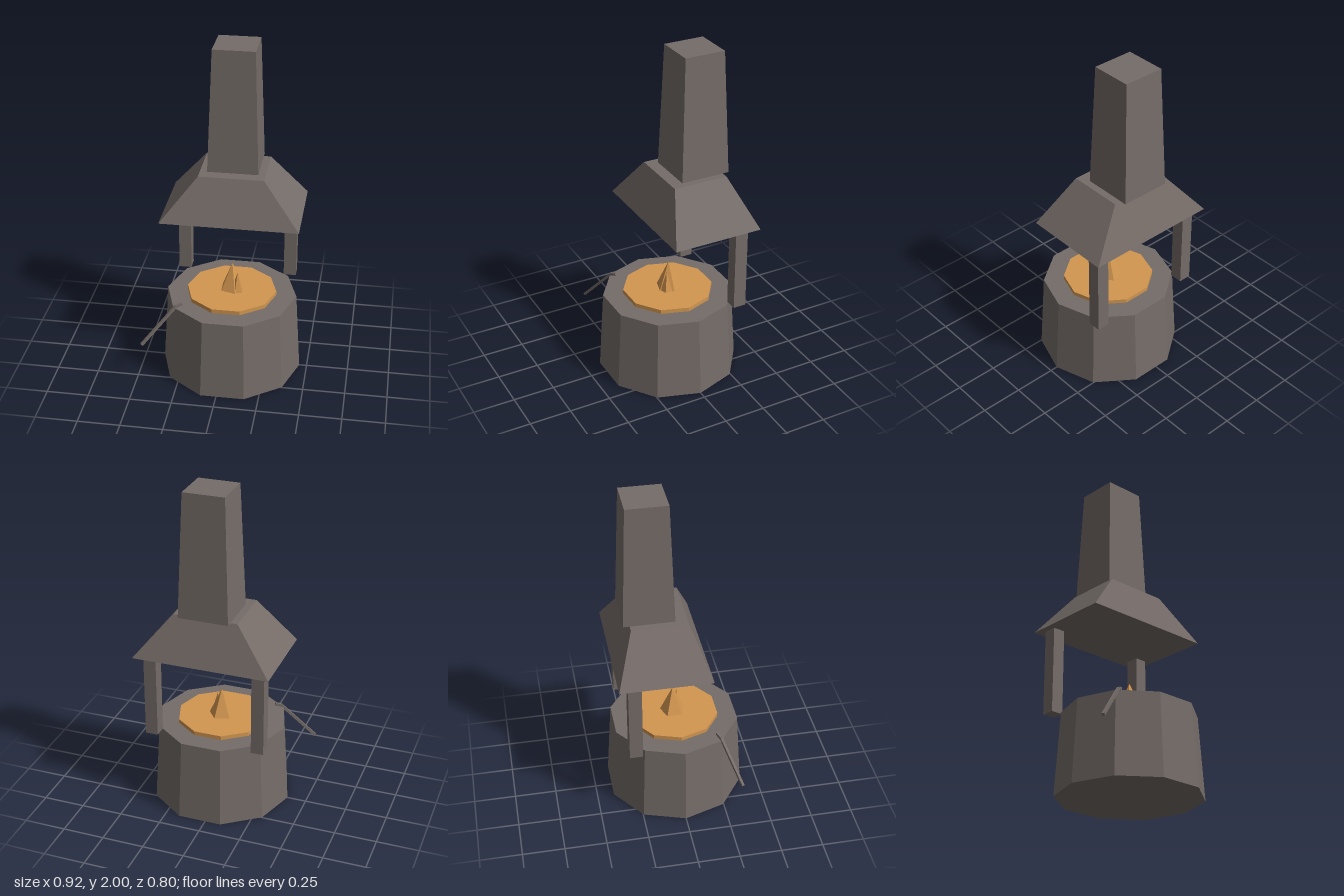
import * as THREE from 'three';

const flat = (name, color) => {
  const m = new THREE.MeshStandardMaterial({ color });
  m.name = name;
  m.flatShading = true;
  return m;
};

// Box whose bottom and top rectangles differ: [x0, x1, z0, z1] each
function frustum(y0, y1, bottom, top) {
  const geo = new THREE.BoxGeometry(1, 1, 1);
  const p = geo.attributes.position;
  for (let i = 0; i < p.count; i++) {
    const r = p.getY(i) > 0 ? top : bottom;
    p.setXYZ(i, p.getX(i) < 0 ? r[0] : r[1], p.getY(i) > 0 ? y1 : y0, p.getZ(i) < 0 ? r[2] : r[3]);
  }
  geo.computeVertexNormals();
  return geo;
}

// Ten-sided drum with corners on the x axis
function drum(rTop, rBottom, y0, y1) {
  const geo = new THREE.CylinderGeometry(rTop, rBottom, y1 - y0, 10, 1, false, Math.PI / 2);
  return geo.translate(0.035, (y0 + y1) / 2, 0);
}

export function createModel() {
  const group = new THREE.Group();
  group.name = 'forge';
  const stone = flat('stone grey', 0x756c68);
  const ember = flat('ember orange', 0xd29650);
  const add = (name, geo, mat) => {
    const mesh = new THREE.Mesh(geo, mat);
    mesh.name = name;
    group.add(mesh);
    return mesh;
  };

  // Hearth and glowing coal bed
  add('hearth', drum(0.389, 0.42, 0, 0.49), stone);
  add('coalBed', drum(0.268, 0.268, 0.485, 0.515), ember);

  // Flames: a tall five-sided one and a small leaning one
  const tall = new THREE.ConeGeometry(0.078, 0.175, 5, 1, false, 0.35);
  add('tallFlame', tall.translate(0.037, 0.5975, -0.005), ember);
  const small = new THREE.ConeGeometry(0.04, 0.135, 5, 1, false, 0.9);
  add('smallFlame', small.translate(0.073, 0.5725, 0.025), ember);

  // Rear posts carrying the hood
  for (const x of [-0.33, 0.32]) {
    const r = [x, x + 0.075, -0.325, -0.247];
    add('post', frustum(0.49, 1.01, r, r), stone);
  }

  // Hood and chimney
  add('hood', frustum(1.005, 1.27, [-0.37, 0.44, -0.38, 0.16], [-0.155, 0.225, -0.275, 0.055]), stone);
  add('chimney', frustum(1.27, 2, [-0.113, 0.183, -0.313, -0.015], [-0.087, 0.157, -0.285, -0.042]), stone);

  // Poker: thin bars between successive points, ending in a short flat tip
  const points = [[-0.455, 0.275, 0.327], [-0.262, 0.502, 0.231], [-0.23, 0.512, 0.214]]
    .map((p) => new THREE.Vector3(...p));
  ['pokerRod', 'pokerTip'].forEach((name, i) => {
    const a = points[i], b = points[i + 1];
    const bar = add(name, new THREE.BoxGeometry(0.016, 0.016, a.distanceTo(b)), stone);
    bar.position.lerpVectors(a, b, 0.5);
    bar.lookAt(b);
  });

  return group;
}
